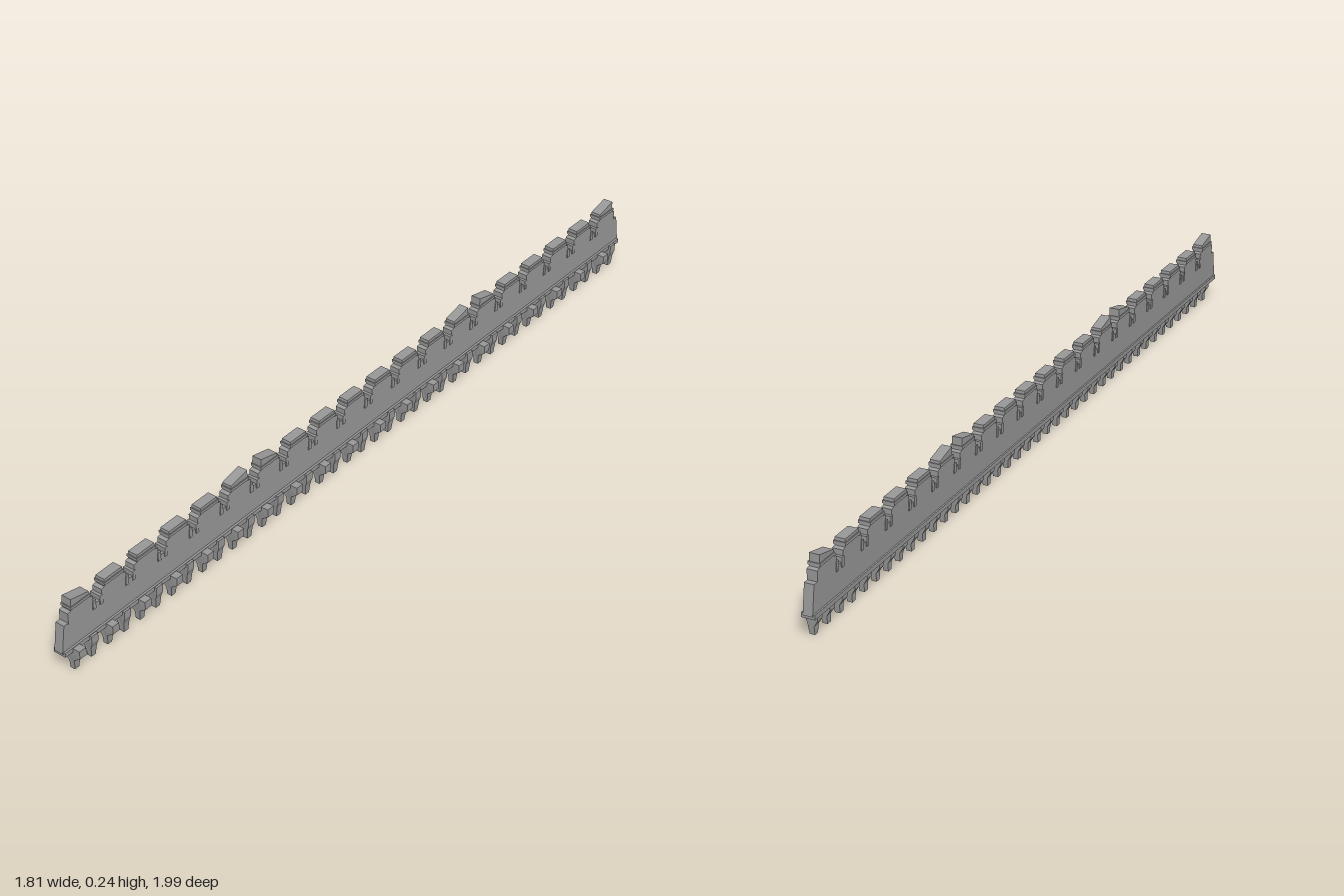
import * as THREE from 'three';

export function createModel() {
  const model = new THREE.Group();
  model.name = 'battlementWall';
  const stone = new THREE.MeshStandardMaterial({ color: 0x999999 });
  stone.name = 'grey stone';

  // the wall runs along local x, its outer face is local +z
  const wall = new THREE.Group();
  wall.name = 'wall';
  wall.rotation.y = 0.833;
  model.add(wall);

  const COUNT = 20, PITCH = 0.1315, HALF = COUNT * PITCH / 2;
  const add = (name, geometry, x = 0, y = 0, z = 0) => {
    const mesh = new THREE.Mesh(geometry, stone);
    mesh.name = name;
    mesh.position.set(x, y, z);
    wall.add(mesh);
    return mesh;
  };
  const extrude = (points, depth) => new THREE.ExtrudeGeometry(
    new THREE.Shape(points.map(([a, b]) => new THREE.Vector2(a, b))),
    { depth, bevelEnabled: false });

  // parapet, slightly longer at its foot
  add('parapet', extrude([
    [-HALF - 0.013, 0.075], [HALF + 0.013, 0.075], [HALF, 0.165], [-HALF, 0.165]
  ], 0.03), 0, 0, -0.018);
  add('floorLedge', new THREE.BoxGeometry(2 * HALF + 0.02, 0.014, 0.042), 0, 0.073, -0.002);

  // merlons with shoulders; the corner ones have a slanted raised top
  const body = [[-0.049, 0.16], [0.049, 0.16], [0.049, 0.197], [0.037, 0.2]];
  const plain = extrude([...body, [0.035, 0.223], [-0.035, 0.223], [-0.037, 0.2], [-0.049, 0.197]], 0.032);
  const slanted = side => extrude([...body,
    [0.035, side > 0 ? 0.238 : 0.222], [-0.035, side > 0 ? 0.222 : 0.238],
    [-0.037, 0.2], [-0.049, 0.197]], 0.032);
  const raised = { 0: -1, 5: 1, 6: -1, 13: 1, 14: -1, 19: 1 };
  const cap = new THREE.BoxGeometry(0.078, 0.009, 0.038);
  for (let i = 0; i < COUNT; i++) {
    const x = (i + 0.5) * PITCH - HALF;
    add('merlon', raised[i] ? slanted(raised[i]) : plain, x, 0, -0.019);
    add('merlonBand', cap, x, 0.209, -0.003);
  }

  // low sill posts in the gaps
  const post = new THREE.BoxGeometry(0.012, 0.03, 0.036);
  for (let i = 1; i < COUNT; i++) {
    for (const side of [-1, 1]) add('sillPost', post, i * PITCH - HALF + side * 0.014, 0.165, -0.003);
  }

  // hanging corbels, every second one reaching further out
  const corbel = reach => {
    const geometry = extrude([
      [-0.012, 0.078], [-0.012, 0.045], [0, 0.025], [0, 0], [0.016, 0],
      [0.02, 0.035], [reach, 0.052], [reach, 0.078]
    ], 0.026);
    geometry.translate(0, 0, -0.013);
    geometry.rotateY(-Math.PI / 2);
    // narrow towards the foot
    const p = geometry.attributes.position;
    for (let i = 0; i < p.count; i++) p.setX(i, p.getX(i) * (0.65 + 0.35 * Math.min(1, p.getY(i) / 0.05)));
    geometry.computeVertexNormals();
    return geometry;
  };
  const corbels = [corbel(0.043), corbel(0.026)];
  for (let i = 0; i < COUNT * 2; i++) {
    add('corbel', corbels[i % 2], (i + 0.5) * PITCH / 2 - HALF, 0, 0);
  }

  return model;
}
